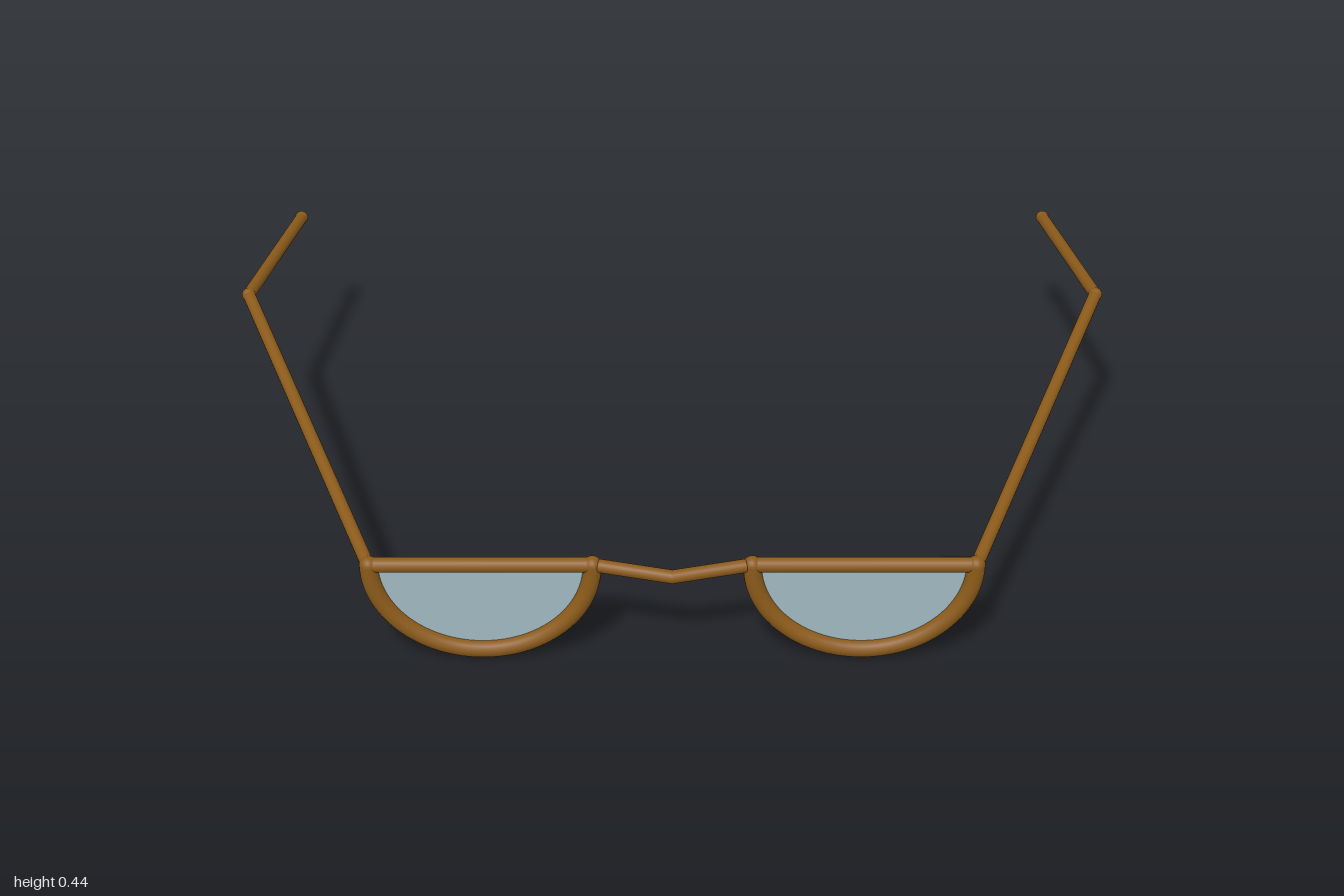
import * as THREE from 'three';

const frameMaterial = new THREE.MeshStandardMaterial({ color: 0x8b5a1a });
const lensMaterial = new THREE.MeshStandardMaterial({ color: 0x9fb8c0, side: THREE.DoubleSide });

const BAR_Y = 0.238, FRAME_Z = 0.64; // height and depth of the brow bars
const LENS_X = 0.408, HALF_WIDTH = 0.238, DROP = 0.218;

function add(parent, name, geometry, material = frameMaterial) {
  const mesh = new THREE.Mesh(geometry, material);
  mesh.name = name;
  parent.add(mesh);
  return mesh;
}

// Straight round rods through the given points, with a ball at every point
function addRods(parent, name, points, radius, ballRadius = radius) {
  const group = new THREE.Group();
  group.name = name;
  points.forEach((p, i) => {
    add(group, name + 'Joint', new THREE.SphereGeometry(ballRadius, 16, 12)).position.copy(p);
    if (i === 0) return;
    const path = new THREE.LineCurve3(points[i - 1], p);
    add(group, name + 'Rod', new THREE.TubeGeometry(path, 1, radius, 16));
  });
  parent.add(group);
}

// Lower half of an ellipse, from the -x corner to the +x corner
function halfMoon(x, count) {
  return Array.from({ length: count + 1 }, (_, i) => {
    const a = Math.PI * (1 + i / count);
    return new THREE.Vector3(x + HALF_WIDTH * Math.cos(a), BAR_Y + DROP * Math.sin(a), FRAME_Z);
  });
}

export function createModel() {
  const model = new THREE.Group();
  model.name = 'halfMoonGlasses';

  for (const [side, s] of [['left', 1], ['right', -1]]) {
    const v = (x, y, z) => new THREE.Vector3(s * x, y, z);
    const arc = halfMoon(s * LENS_X, 32);

    // Curved lower rim and straight brow bar
    add(model, side + 'Rim', new THREE.TubeGeometry(new THREE.CatmullRomCurve3(arc), 64, 0.02, 16));
    addRods(model, side + 'BrowBar', [arc[0], arc[arc.length - 1]], 0.017, 0.02);

    // Flat half-moon lens
    const outline = new THREE.Shape(arc.map((p) => new THREE.Vector2(p.x, p.y)));
    add(model, side + 'Lens', new THREE.ShapeGeometry(outline), lensMaterial).position.z = FRAME_Z;

    // Temple arm with a bent ear piece
    addRods(model, side + 'Temple',
      [v(0.648, 0.24, FRAME_Z), v(0.984, 0.423, -0.2), v(0.912, 0.375, -0.67)], 0.0145, 0.016);
  }

  // Bridge, kinked forward and down at the middle
  addRods(model, 'bridge', [
    new THREE.Vector3(-0.17, BAR_Y, FRAME_Z),
    new THREE.Vector3(0, 0.226, 0.668),
    new THREE.Vector3(0.17, BAR_Y, FRAME_Z),
  ], 0.015);

  return model;
}
